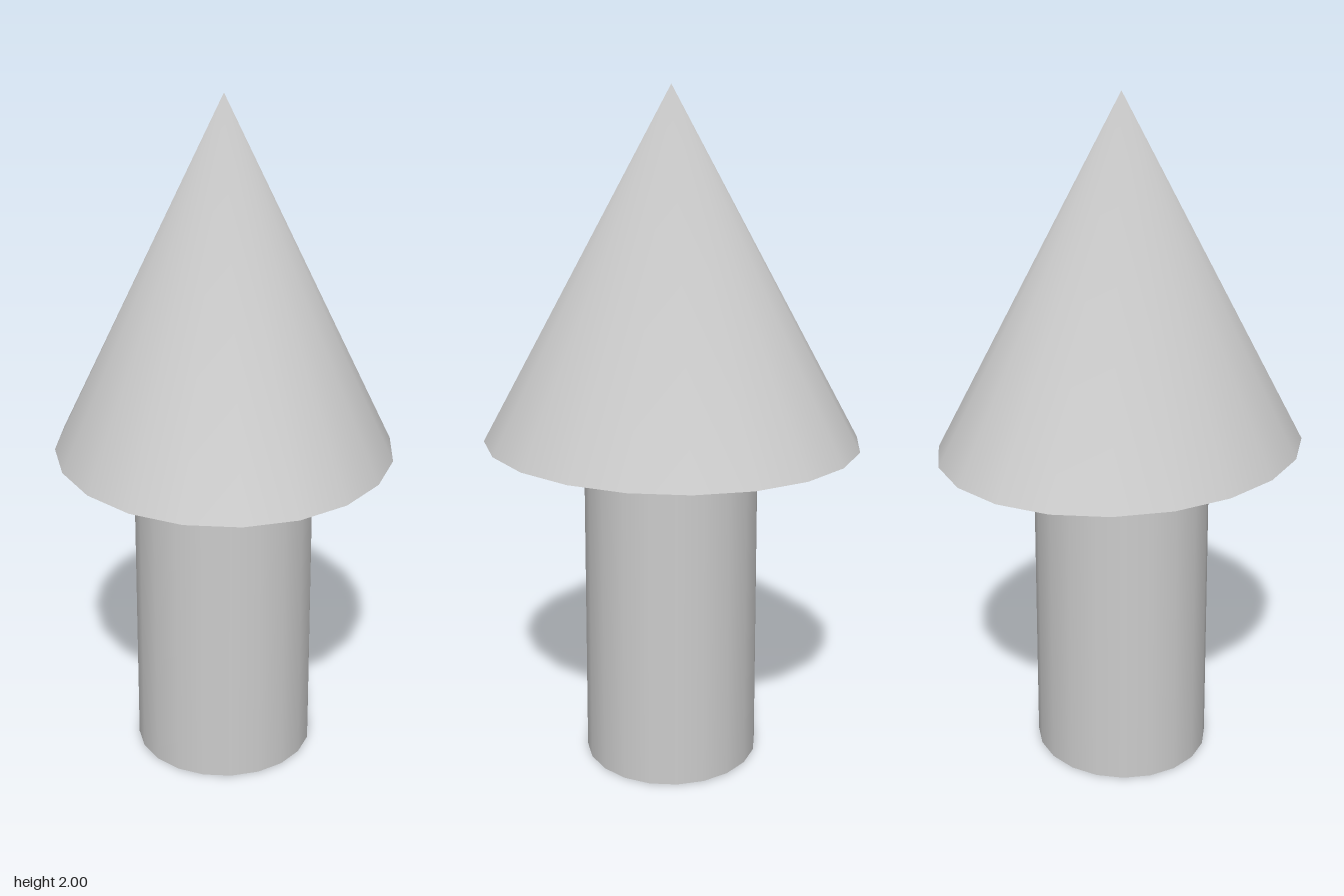
import * as THREE from 'three';

const SIDES = 20;

export function createModel() {
  const model = new THREE.Group();
  const material = new THREE.MeshStandardMaterial({ color: 0xcccccc });

  function add(name, geometry, radiusX, radiusZ, y) {
    geometry.scale(radiusX, 1, radiusZ);
    const mesh = new THREE.Mesh(geometry, material);
    mesh.name = name;
    mesh.position.y = y;
    model.add(mesh);
  }

  // Slightly oval, barely tapered trunk
  const base = 0.987;
  add('trunk', new THREE.CylinderGeometry(0.98, 1, base, SIDES), 0.27, 0.26, base / 2);

  // Oval cone crown; one shared upward normal rounds the shading at its tip
  const height = 2 - base;
  const cone = new THREE.ConeGeometry(1, height, SIDES);
  // match the slope of the final radius, then let the tip point straight up
  const normals = cone.attributes.normal;
  for (let i = 0; i <= SIDES; i++) normals.setXYZ(i, 0, 1, 0);
  add('crown', cone, 0.493, 0.553, base + height / 2);

  return model;
}
